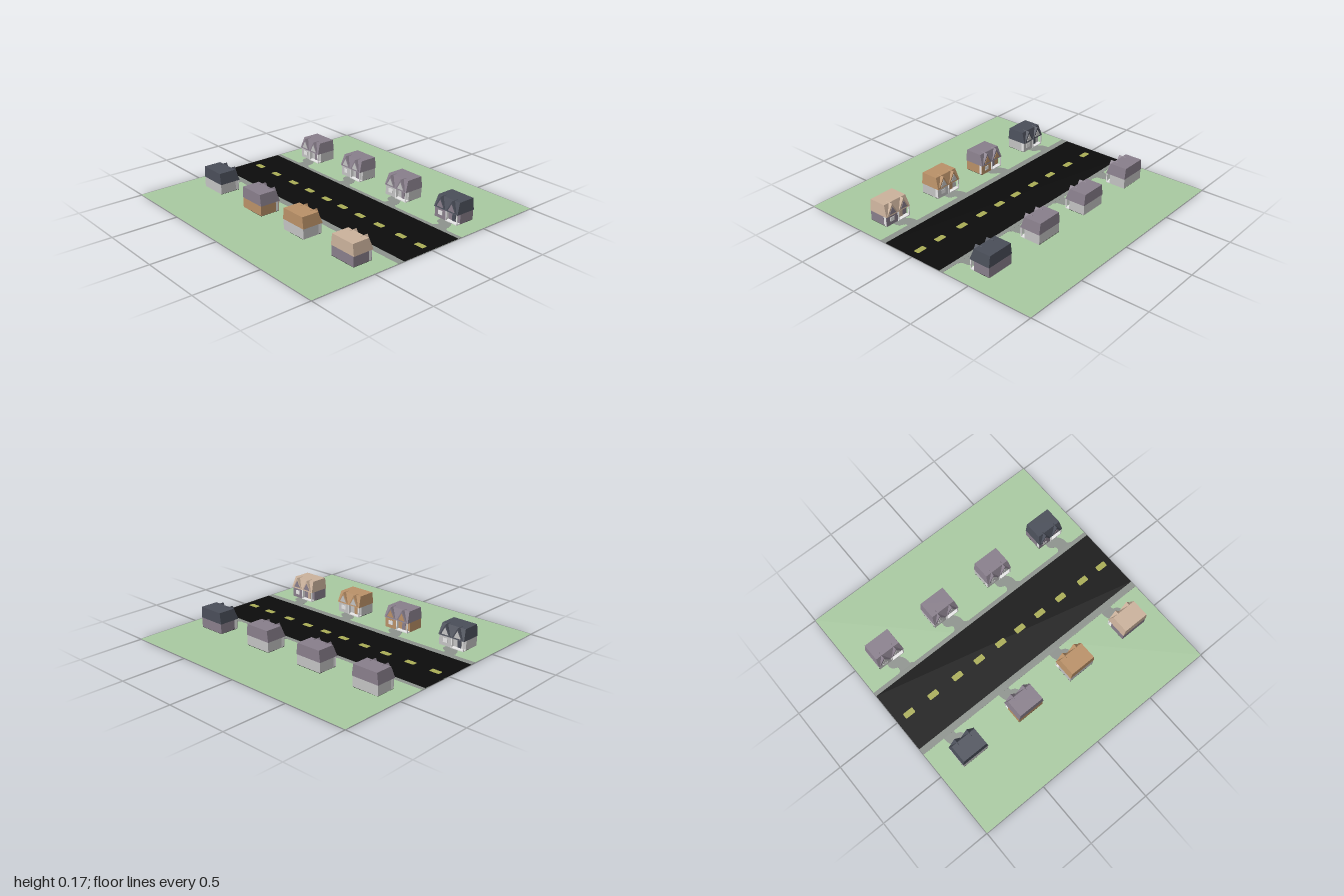
import * as THREE from 'three';

const mat = (name, color) => {
  const m = new THREE.MeshStandardMaterial({ color });
  m.name = name;
  return m;
};

export function createModel() {
  const M = {
    grass: mat('grass green', 0xa8c9a0),
    path: mat('path grey', 0x8d928d),
    road: mat('asphalt black', 0x0c0c0c),
    dash: mat('lane yellow', 0xa9ac55),
    slate: mat('slate blue', 0x4a4e59),
    mauve: mat('mauve', 0x887e8b),
    ochre: mat('ochre', 0xb99067),
    tan: mat('tan', 0xcab19b),
    grey: mat('light grey', 0xc2c2c2),
    white: mat('trim white', 0xf4f4f4),
  };
  const root = new THREE.Group();
  root.name = 'streetScene';
  const G = 0.003; // ground level

  const add = (parent, name, geo, material, x = 0, y = 0, z = 0) => {
    const mesh = new THREE.Mesh(geo, material);
    mesh.name = name;
    mesh.position.set(x, y, z);
    parent.add(mesh);
    return mesh;
  };
  const box = (parent, name, material, x0, x1, y0, y1, z0, z1) =>
    add(parent, name, new THREE.BoxGeometry(x1 - x0, y1 - y0, z1 - z0), material,
      (x0 + x1) / 2, (y0 + y1) / 2, (z0 + z1) / 2);
  // thin ground plate, visible from above and below; shape y becomes z
  const plate = (parent, name, material, shape, half) => {
    const geo = new THREE.ExtrudeGeometry(shape, { depth: 2 * half, bevelEnabled: false, curveSegments: 6 });
    geo.rotateX(Math.PI / 2);
    return add(parent, name, geo, material, 0, G + half, 0);
  };

  // Ground, pavements, road
  box(root, 'lawn', M.grass, -1, 1, G - 0.0005, G + 0.0005, -1, 1);
  box(root, 'leftPavement', M.path, -0.3, -0.25, G - 0.0015, G + 0.0015, -1, 1);
  box(root, 'rightPavement', M.path, 0.25, 0.282, G - 0.0015, G + 0.0015, -1, 1);
  box(root, 'road', M.road, -0.25, 0.25, G - 0.002, G + 0.002, -1, 1);

  // Rounded lane dashes
  const dash = new THREE.Shape();
  const w = 0.022, l = 0.041, r = 0.01;
  dash.moveTo(-w + r, -l).lineTo(w - r, -l).quadraticCurveTo(w, -l, w, -l + r)
    .lineTo(w, l - r).quadraticCurveTo(w, l, w - r, l)
    .lineTo(-w + r, l).quadraticCurveTo(-w, l, -w, l - r)
    .lineTo(-w, -l + r).quadraticCurveTo(-w, -l, -w + r, -l);
  [-0.895, -0.68, -0.46, -0.26, -0.06, 0.12, 0.31, 0.51, 0.725, 0.91].forEach((z, i) => {
    const d = plate(root, 'laneDash', M.dash, dash, 0.003);
    d.position.x = 0.002 - i * 0.0018;
    d.position.z = z;
  });

  // Garden path flaring from the porch to the pavement
  const pathShape = new THREE.Shape();
  pathShape.moveTo(0.04, -0.065).lineTo(0.085, -0.062)
    .quadraticCurveTo(0.11, -0.09, 0.165, -0.09).lineTo(0.185, -0.12).lineTo(0.185, 0.02)
    .quadraticCurveTo(0.165, -0.01, 0.14, 0)
    .quadraticCurveTo(0.13, 0.04, 0.1, 0.045).lineTo(0.04, 0.045);

  // L-shaped foundation
  const foundation = new THREE.Shape();
  foundation.moveTo(-0.083, -0.107).lineTo(0.045, -0.107).lineTo(0.045, 0)
    .lineTo(0.071, 0).lineTo(0.071, 0.107).lineTo(-0.083, 0.107);

  // Roof: level top, upright back, sloping front and ends
  const roofGeo = () => {
    const geo = new THREE.BoxGeometry(0.165, 0.085, 0.222).toNonIndexed();
    const p = geo.attributes.position;
    for (let i = 0; i < p.count; i++) {
      if (p.getY(i) < 0) continue;
      p.setZ(i, p.getZ(i) * 0.9);
      if (p.getX(i) > 0) p.setX(i, 0.0525);
    }
    geo.computeVertexNormals();
    return geo;
  };
  const triangle = (hw, h) => {
    const s = new THREE.Shape();
    s.moveTo(-hw, 0).lineTo(hw, 0).lineTo(0, h);
    return s;
  };
  const gable = (hw, h, depth) => {
    const geo = new THREE.ExtrudeGeometry(triangle(hw, h), { depth, bevelEnabled: false });
    geo.rotateY(Math.PI / 2);
    return geo;
  };

  const house = (side, z, roofMat, wallMat) => {
    const h = new THREE.Group();
    h.name = 'house';
    h.position.set(side * 0.465, 0, z);
    if (side > 0) h.rotation.y = Math.PI;
    root.add(h);
    plate(h, 'gardenPath', M.path, pathShape, 0.001);
    plate(h, 'foundation', M.road, foundation, 0.0025);
    box(h, 'mainWalls', wallMat, -0.083, 0.045, G, 0.082, -0.107, 0.107);
    // front wing with pale sides
    box(h, 'wingSides', M.white, 0.045, 0.069, G, 0.08, 0.002, 0.106);
    box(h, 'wingFront', wallMat, 0.069, 0.072, G, 0.08, 0.001, 0.107);
    // open porch
    box(h, 'porchFloor', M.white, 0.045, 0.078, G, 0.01, -0.107, 0.001);
    for (const pz of [-0.107, -0.008]) {
      box(h, 'porchPost', M.white, 0.07, 0.078, 0.01, 0.082, pz, pz + 0.008);
    }
    box(h, 'frontDoor', roofMat, 0.045, 0.049, 0.01, 0.065, -0.066, -0.036);
    box(h, 'wingWindow', M.white, 0.072, 0.075, 0.03, 0.062, 0.035, 0.073);
    add(h, 'roof', roofGeo(), roofMat, -0.0025, 0.1225, 0);
    // paired front gables
    for (const gz of [-0.053, 0.053]) {
      add(h, 'gable', gable(0.046, 0.082, 0.058), roofMat, 0.022, 0.086, gz);
      add(h, 'gablePanel', gable(0.03, 0.054, 0.003), wallMat, 0.08, 0.092, gz);
    }
  };

  house(-1, -0.73, M.slate, M.grey);
  house(-1, -0.23, M.mauve, M.ochre);
  house(-1, 0.245, M.ochre, M.grey);
  house(-1, 0.75, M.tan, M.mauve);
  house(1, -0.752, M.mauve, M.grey);
  house(1, -0.25, M.mauve, M.grey);
  house(1, 0.25, M.mauve, M.grey);
  house(1, 0.752, M.slate, M.mauve);
  return root;
}
